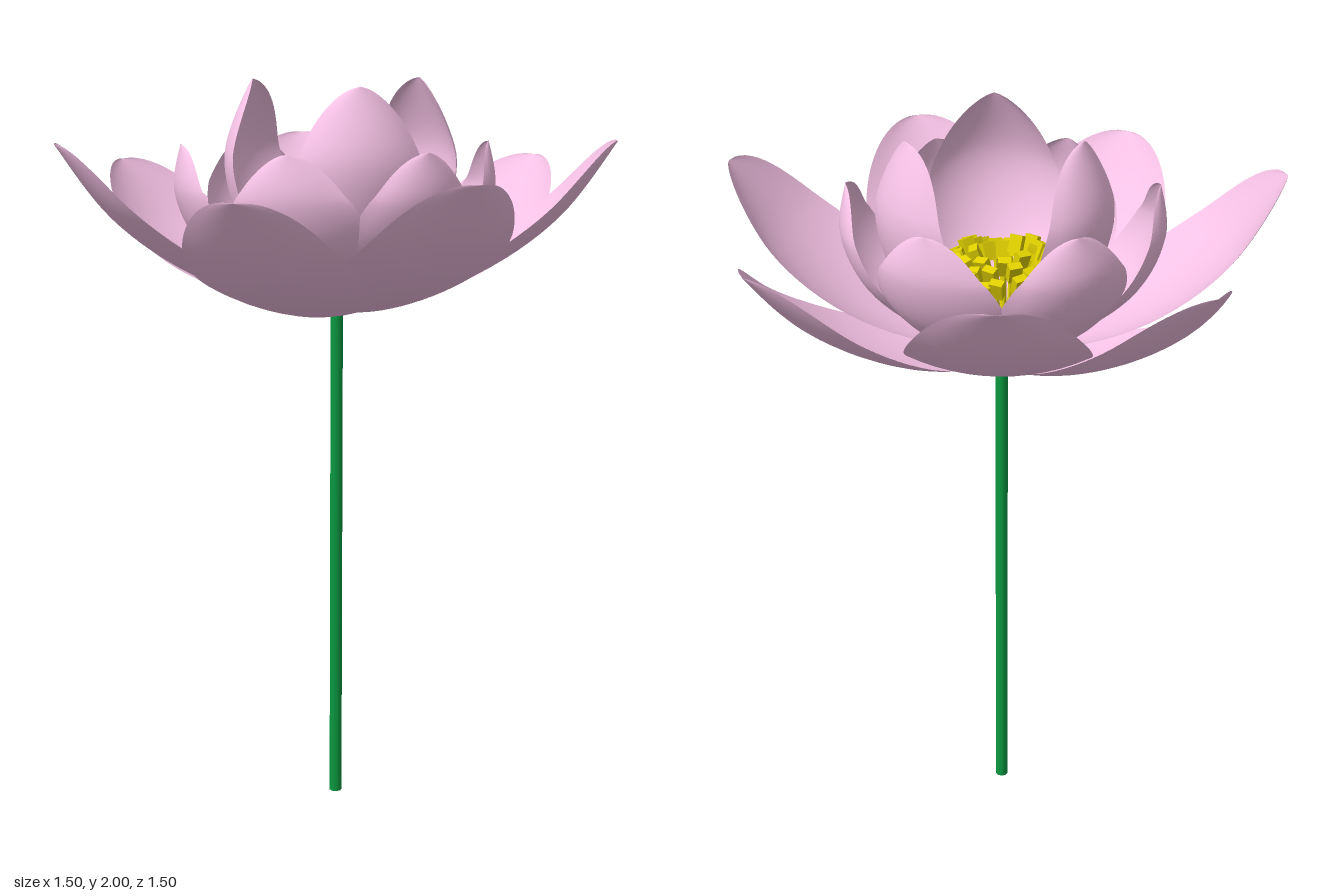
import * as THREE from 'three';

const BASE_Y = 1.39;
const material = (color, extra = {}) => new THREE.MeshStandardMaterial({ color, ...extra });
const { degToRad } = THREE.MathUtils;

// Cupped petal pointing to +z: a plane swept along an (r, y) profile and curled across its width
function petalGeometry({ profile, width, cup, widest, base, tip }) {
  const curve = new THREE.SplineCurve(profile.map(([r, y]) => new THREE.Vector2(r, y - BASE_Y)));
  const geometry = new THREE.PlaneGeometry(2, 1, 12, 28);
  const pos = geometry.attributes.position;
  for (let i = 0; i < pos.count; i++) {
    const across = pos.getX(i);
    const t = 1 - (0.5 - pos.getY(i)) ** 1.7; // denser rows near the tip
    const point = curve.getPointAt(t);
    const tangent = curve.getTangentAt(t);
    const half = width * (t < widest
      ? base + (1 - base) * Math.sin((t / widest) * Math.PI / 2)
      : Math.max(0, 1 - ((t - widest) / (1 - widest)) ** 2) ** tip);
    const radius = half / Math.sin(cup);
    const lift = radius * (1 - Math.cos(across * cup));
    pos.setXYZ(i,
      -radius * Math.sin(across * cup),
      point.y + tangent.x * lift,
      point.x - tangent.y * lift);
  }
  geometry.computeVertexNormals();
  return geometry;
}

// Each placement is [heading in degrees, downward pitch in radians, drop, size]
function petalRing(name, placements, shape, petalMaterial) {
  const ring = new THREE.Group();
  ring.name = name + 's';
  const geometry = petalGeometry(shape);
  for (const [heading, pitch = 0, drop = 0, size = 1] of placements) {
    const petal = new THREE.Mesh(geometry, petalMaterial);
    petal.name = name;
    petal.rotation.set(pitch, degToRad(heading), 0, 'YXZ');
    petal.position.y = BASE_Y - drop;
    petal.scale.setScalar(size);
    ring.add(petal);
  }
  return ring;
}

// Rings of thin curved filaments, each ending in a small tilted block
function createStamens() {
  const stamens = new THREE.Group();
  stamens.name = 'stamens';
  const yellow = material(0xe0d000, { flatShading: true });
  const antherGeometry = new THREE.BoxGeometry(0.036, 0.05, 0.024);
  const rings = [[20, 0.155, 1.59], [16, 0.115, 1.61], [10, 0.07, 1.62]];
  rings.forEach(([count, r, top], k) => {
    const path = new THREE.CatmullRomCurve3([
      new THREE.Vector3(0, 1.4, 0.01),
      new THREE.Vector3(0, 1.45, r * 0.65),
      new THREE.Vector3(0, top - 0.07, r * 0.95),
      new THREE.Vector3(0, top, r),
    ]);
    const filamentGeometry = new THREE.TubeGeometry(path, 6, 0.006, 4);
    for (let i = 0; i < count; i++) {
      const stamen = new THREE.Group();
      stamen.name = 'stamen';
      const filament = new THREE.Mesh(filamentGeometry, yellow);
      filament.name = 'filament';
      const anther = new THREE.Mesh(antherGeometry, yellow);
      anther.name = 'anther';
      anther.position.set(0, top + 0.015, r + 0.003);
      anther.rotation.set(0.4, 0.3 * Math.sin(i * 2.4), 0);
      stamen.add(filament, anther);
      stamen.rotation.y = ((i + k * 0.5 + 0.25 * Math.sin(i * 1.7)) / count) * Math.PI * 2;
      stamen.position.y = (i % 3 - 1) * 0.01;
      stamens.add(stamen);
    }
  });
  return stamens;
}

// Slightly leaning stem
function createStem() {
  const path = new THREE.LineCurve3(new THREE.Vector3(0.016, 0, 0.017), new THREE.Vector3(0.016, 1.395, 0.04));
  const stem = new THREE.Group();
  stem.name = 'stem';
  const green = material(0x0a9a40);
  const stalk = new THREE.Mesh(new THREE.TubeGeometry(path, 1, 0.017, 8), green);
  stalk.name = 'stalk';
  const end = new THREE.Mesh(new THREE.CircleGeometry(0.017, 8), green);
  end.name = 'stalkEnd';
  end.rotation.x = Math.PI / 2;
  end.position.copy(path.v1);
  stem.add(stalk, end);
  return stem;
}

export function createModel() {
  const model = new THREE.Group();
  model.name = 'waterFlower';
  const pink = material(0xf6c2e6, { side: THREE.DoubleSide });

  // Outer petals overlap: the lower ones are pitched down beneath their neighbours
  const outer = petalRing('outerPetal', [
    [180, 0.025, 0], [78, -0.03, 0], [-84, -0.03, 0],
    [20.5, 0.025, 0.004, 0.97],
    [-26, 0.07, 0.008, 0.97], [125.5, 0.065, 0.008, 0.985], [-135, 0.065, 0.008, 0.965],
  ], {
    profile: [[0, 1.39], [0.2, 1.405], [0.42, 1.485], [0.62, 1.625], [0.775, 1.82]],
    width: 0.24, cup: 0.42, widest: 0.54, base: 0.4, tip: 0.52,
  }, pink);

  const middle = petalRing('middlePetal', [[28], [88], [153], [-151], [-87], [-24]], {
    profile: [[0.02, 1.4], [0.2, 1.435], [0.36, 1.55], [0.435, 1.7], [0.42, 1.835]],
    width: 0.19, cup: 0.72, widest: 0.57, base: 0.4, tip: 0.54,
  }, pink);

  const inner = petalRing('innerPetal', [[2], [121], [-118]], {
    profile: [[0.02, 1.41], [0.17, 1.46], [0.28, 1.6], [0.33, 1.8], [0.265, 2]],
    width: 0.182, cup: 0.85, widest: 0.57, base: 0.35, tip: 0.54,
  }, pink);
  inner.position.set(0.022, 0, 0.015);

  const blossom = new THREE.Group();
  blossom.name = 'blossom';
  blossom.position.set(0.012, 0, 0.028);
  blossom.add(outer, middle, inner, createStamens());

  model.add(createStem(), blossom);
  return model;
}
